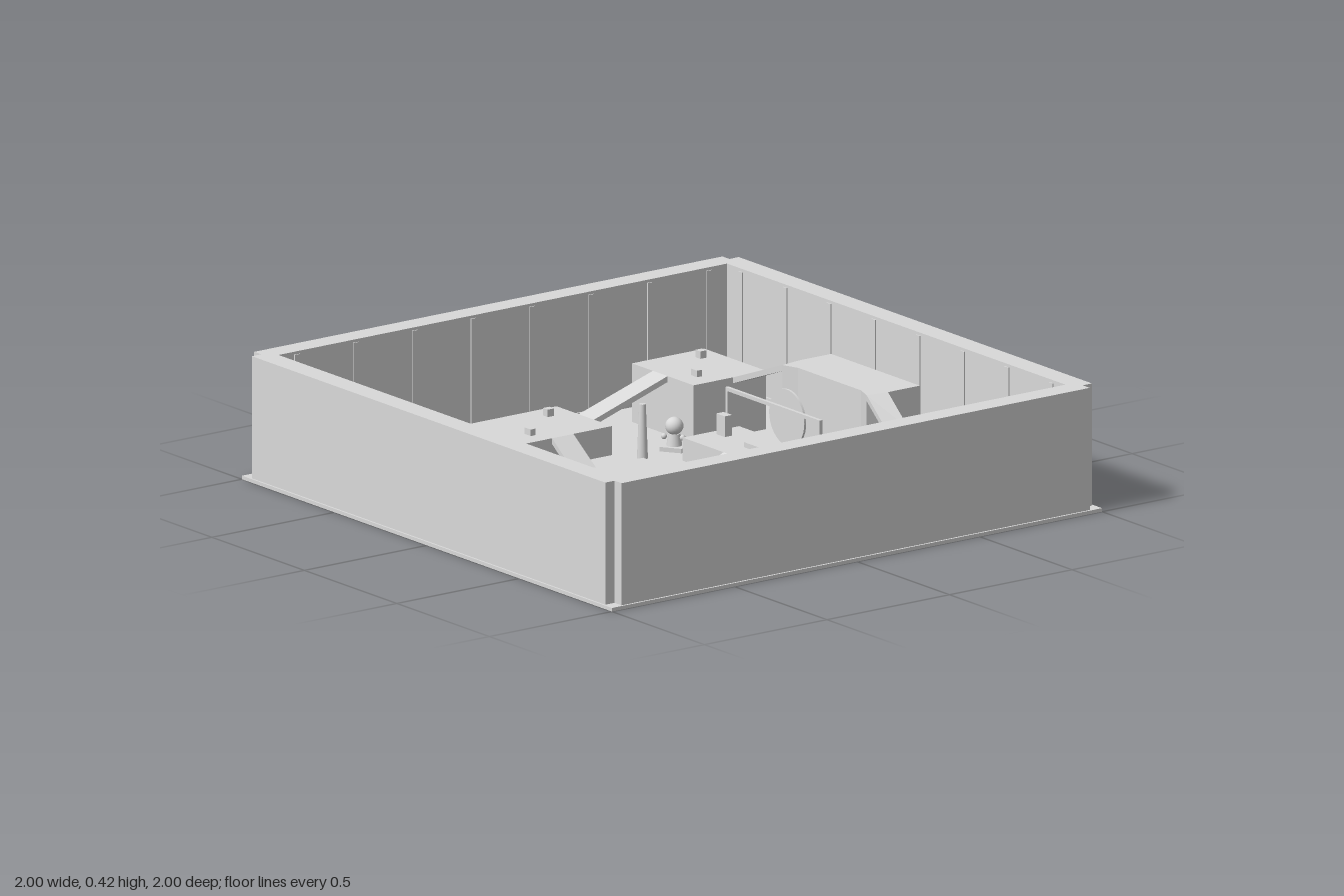
import * as THREE from 'three';

export function createModel() {
  const model = new THREE.Group();
  model.name = 'arena';
  const grey = new THREE.MeshStandardMaterial({ color: 0xd9d9d9 });
  grey.name = 'plain grey';
  const FLOOR = 0.012;

  const add = (name, geometry, parent = model) => {
    const mesh = new THREE.Mesh(geometry, grey);
    mesh.name = name;
    parent.add(mesh);
    return mesh;
  };
  // Box given by its limits on each axis
  const block = (name, x0, x1, y0, y1, z0, z1, parent) => {
    const mesh = add(name, new THREE.BoxGeometry(x1 - x0, y1 - y0, z1 - z0), parent);
    mesh.position.set((x0 + x1) / 2, (y0 + y1) / 2, (z0 + z1) / 2);
    return mesh;
  };
  const shapeOf = (points) => new THREE.Shape(points.map(([x, z]) => new THREE.Vector2(x, -z)));
  // Plan outline (x, z) raised from y0 to y1
  const slab = (name, shape, y0, y1) => {
    const geometry = new THREE.ExtrudeGeometry(shape, { depth: y1 - y0, bevelEnabled: false });
    geometry.rotateX(-Math.PI / 2);
    geometry.translate(0, y0, 0);
    return add(name, geometry);
  };
  // Sloping plank whose four plan corners go high, high, low, low
  const ramp = (name, corners, high, low, side) => {
    const geometry = new THREE.BoxGeometry(1, 1, 1);
    const p = geometry.attributes.position;
    for (let i = 0; i < p.count; i++) {
      const atLow = p.getZ(i) > 0, second = p.getX(i) > 0, top = p.getY(i) > 0;
      const [x, z] = corners[(atLow ? 2 : 0) + (second ? 1 : 0)];
      p.setXYZ(i, x * side, (atLow ? low : high) - (top ? 0 : 0.02), z);
    }
    // Keep the faces outward whichever way the plan corners turn
    const [a, b, c] = corners;
    const turn = ((b[0] - a[0]) * (c[1] - a[1]) - (b[1] - a[1]) * (c[0] - a[0])) * side;
    if (turn < 0) {
      const index = geometry.index.array;
      for (let i = 0; i < index.length; i += 3) [index[i], index[i + 1]] = [index[i + 1], index[i]];
    }
    const flat = geometry.toNonIndexed();
    flat.computeVertexNormals();
    add(name, flat);
  };

  // Base and outer wall with notched corners
  block('base', -1, 1, 0, FLOOR, -1, 1);
  const o = 0.993, n = 0.955, w = 0.915;
  const wall = shapeOf([[-n, -o], [n, -o], [n, -n], [o, -n], [o, n], [n, n],
    [n, o], [-n, o], [-n, n], [-o, n], [-o, -n], [-n, -n]]);
  wall.holes.push(new THREE.Path([[-w, -w], [w, -w], [w, w], [-w, w]].map(([x, y]) => new THREE.Vector2(x, y))));
  slab('outerWall', wall, FLOOR, 0.425);

  // Battens and floor rail along each inner wall
  for (let i = 0; i < 4; i++) {
    const side = new THREE.Group();
    side.name = 'wallTrim';
    side.rotation.y = i * Math.PI / 2;
    for (let k = 0; k < 8; k++) {
      const x = (k - 3.5) * 0.24;
      block('batten', x - 0.011, x + 0.011, FLOOR, 0.415, -w, -w + 0.004, side);
    }
    block('floorRail', -0.903, 0.903, FLOOR, 0.028, -0.903, -0.895, side);
    model.add(side);
  }

  // Low central floor with its walkway and entry pad
  slab('centralFloor', shapeOf([[-0.335, -0.135], [0.333, -0.135], [0.333, 0.422], [0.07, 0.422],
    [0.07, 0.62], [0.183, 0.62], [0.183, 0.845], [-0.187, 0.845], [-0.187, 0.62],
    [-0.075, 0.62], [-0.075, 0.422], [-0.335, 0.422]]), FLOOR, 0.03);

  // High rear platform with wings that meet the ramps
  slab('rearPlatform', shapeOf([[-0.24, -0.83], [0.24, -0.83], [0.24, -0.7], [0.228, -0.622],
    [0.17, -0.643], [-0.17, -0.643], [-0.228, -0.622], [-0.24, -0.7]]), FLOOR, 0.285);

  // Side platforms, ramps, lamp posts
  for (const s of [-1, 1]) {
    const span = (name, a, b, ...rest) => block(name, Math.min(a * s, b * s), Math.max(a * s, b * s), ...rest);
    span('upperPlatform', 0.42, 0.753, FLOOR, 0.21, -0.7, -0.405);
    span('lowerPlatform', 0.473, 0.773, FLOOR, 0.11, -0.112, 0.256);
    ramp('upperRamp', [[0.24, -0.7], [0.228, -0.622], [0.42, -0.65], [0.42, -0.565]], 0.285, 0.21, s);
    ramp('middleRamp', [[0.56, -0.405], [0.64, -0.405], [0.57, -0.112], [0.653, -0.112]], 0.21, 0.11, s);
    ramp('lowerRamp', [[0.473, 0.045], [0.473, 0.132], [0.335, 0.058], [0.335, 0.148]], 0.11, 0.03, s);
    for (const z of [-0.17, 0.477]) {
      const post = add('lampPost', new THREE.CylinderGeometry(0.011, 0.018, 0.183, 20));
      post.position.set(0.385 * s, FLOOR + 0.0915, z);
    }
  }

  // Crates on the side platforms: square ones behind, flat ones in front
  for (const [x, z, y] of [[-0.675, -0.628, 0.21], [0.5, -0.628, 0.21], [-0.698, -0.023, 0.11], [0.548, -0.023, 0.11]]) {
    block('crate', x - 0.013, x + 0.013, y, y + 0.025, z - 0.013, z + 0.013);
  }
  for (const [x, z, y] of [[-0.508, -0.483, 0.21], [0.666, -0.483, 0.21], [-0.553, 0.162, 0.11], [0.693, 0.162, 0.11]]) {
    block('lowCrate', x - 0.017, x + 0.017, y, y + 0.022, z - 0.01, z + 0.01);
  }

  // Stage with frame, disc, speakers and console
  const deck = 0.09;
  block('stage', -0.28, 0.275, FLOOR, deck, -0.485, -0.255);
  ramp('stageRamp', [[-0.06, -0.255], [0.053, -0.255], [-0.06, -0.135], [0.053, -0.135]], deck, 0.03, 1);
  block('frameBeam', -0.258, 0.252, 0.228, 0.24, -0.424, -0.412);
  for (const x of [-0.252, 0.246]) block('framePost', x - 0.006, x + 0.006, deck, 0.228, -0.424, -0.412);
  for (const x of [-0.225, 0.222]) block('speaker', x - 0.023, x + 0.023, deck, 0.16, -0.398, -0.368);
  block('console', -0.067, 0.06, deck, 0.107, -0.378, -0.345);
  const disc = add('disc', new THREE.CylinderGeometry(0.095, 0.095, 0.008, 40));
  disc.rotation.x = Math.PI / 2;
  disc.position.set(-0.004, 0.183, -0.475);

  // Two small figures on turned square plinths
  for (const s of [-1, 1]) {
    const figure = new THREE.Group();
    figure.name = 'figure';
    figure.position.set(0.405 * s, FLOOR, -0.315);
    figure.rotation.y = -0.6 * s;
    block('plinth', -0.038, 0.038, 0, 0.015, -0.038, 0.038, figure);
    const body = add('body', new THREE.CylinderGeometry(0.02, 0.026, 0.04, 16), figure);
    body.position.y = 0.035;
    const head = add('head', new THREE.SphereGeometry(0.03, 20, 14), figure);
    head.position.y = 0.08;
    for (const a of [-1, 1]) {
      const arm = add('arm', new THREE.SphereGeometry(0.01, 10, 8), figure);
      arm.position.set(0.032 * a, 0.045, 0.01);
    }
    model.add(figure);
  }
  return model;
}
